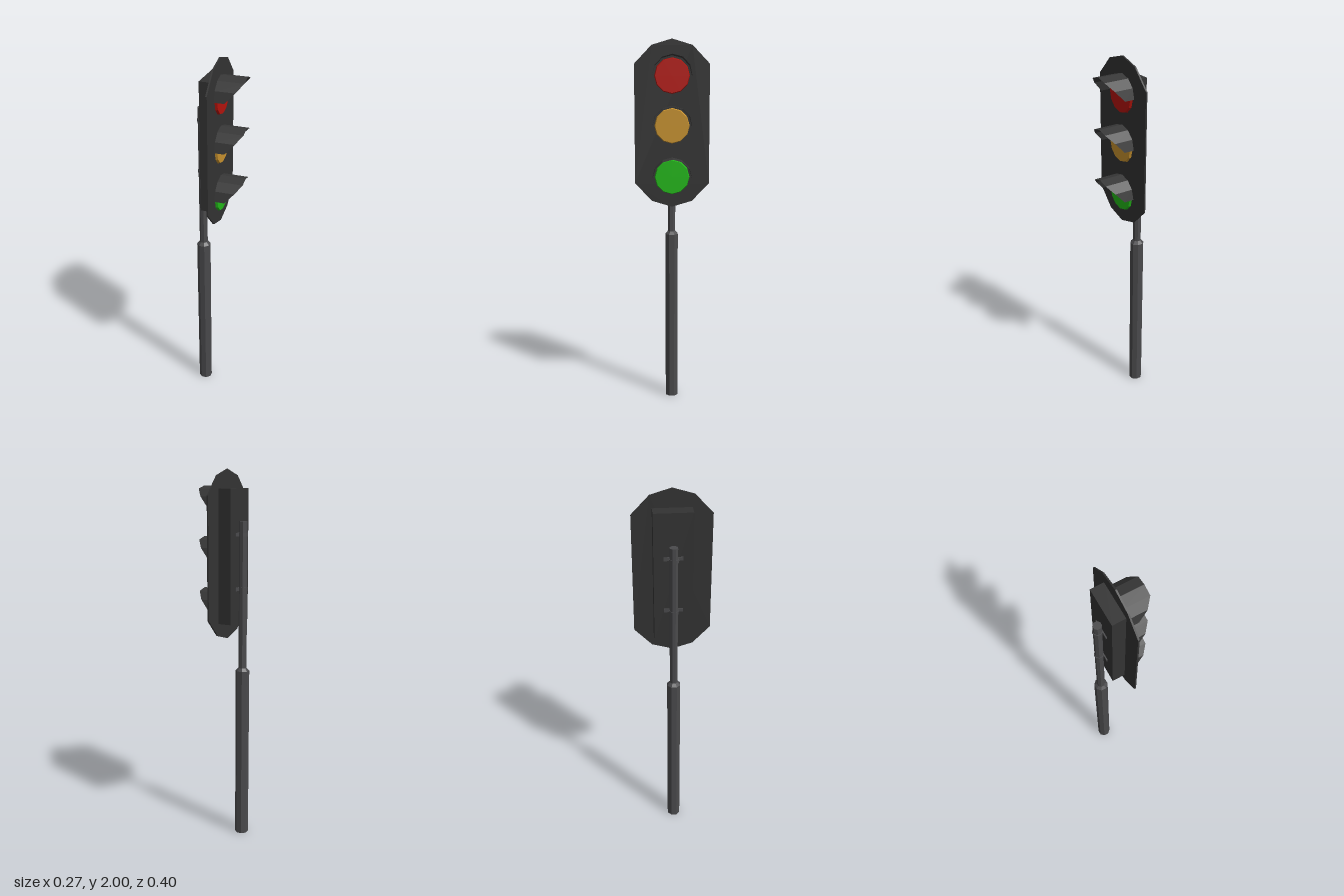
import * as THREE from 'three';

const paint = (color, side = THREE.FrontSide) =>
  new THREE.MeshStandardMaterial({ color, side, flatShading: true });

// Half of a twelve-sided tube whose front edge is cut back towards the sides
function visorGeometry(radius) {
  const lengths = [0.052, 0.1, 0.133, 0.133, 0.133, 0.1, 0.052];
  const positions = [], index = [];
  lengths.forEach((length, i) => {
    const a = (i * Math.PI) / 6;
    const y = Math.sin(a) * radius, z = Math.cos(a) * radius;
    positions.push(-0.002, y, z, length, y, z);
    if (i < lengths.length - 1) {
      const k = i * 2;
      index.push(k, k + 1, k + 3, k, k + 3, k + 2);
    }
  });
  const geometry = new THREE.BufferGeometry();
  geometry.setAttribute('position', new THREE.Float32BufferAttribute(positions, 3));
  geometry.setIndex(index);
  geometry.computeVertexNormals();
  return geometry;
}

export function createModel() {
  const model = new THREE.Group();
  const dark = paint(0x333333);
  const metal = paint(0x4a4a4c);
  const visorPaint = paint(0x383838, THREE.DoubleSide);

  const add = (name, geometry, material, x = 0, y = 0, z = 0) => {
    const mesh = new THREE.Mesh(geometry, material);
    mesh.name = name;
    mesh.position.set(x, y, z);
    model.add(mesh);
    return mesh;
  };

  // Octagonal stepped pole, flat sides facing the axes
  const k = 1 / Math.cos(Math.PI / 8);
  const profile = [[0, 0], [0.034, 0], [0.034, 0.952], [0.02, 0.968], [0.02, 1.742], [0, 1.742]]
    .map(([r, y]) => new THREE.Vector2(r * k, y));
  add('pole', new THREE.LatheGeometry(profile, 8, Math.PI / 8), metal, -0.1);

  // Clamps holding the housing to the pole
  for (const y of [1.675, 1.394]) {
    const ring = new THREE.CylinderGeometry(0.023 * k, 0.023 * k, 0.018, 8).rotateY(Math.PI / 8);
    add('clampRing', ring, metal, -0.1, y);
    add('clampPlate', new THREE.BoxGeometry(0.008, 0.018, 0.096), metal, -0.08, y);
  }

  // Signal housing
  add('housing', new THREE.BoxGeometry(0.072, 0.69, 0.194), dark, -0.042, 1.56);

  // Thin backing board with clipped corners
  const outline = [[0, 2], [0.107, 1.968], [0.198, 1.873], [0.198, 1.247], [0.107, 1.152],
    [0, 1.12], [-0.107, 1.152], [-0.198, 1.247], [-0.198, 1.873], [-0.107, 1.968]];
  const shape = new THREE.Shape(outline.map(([x, y]) => new THREE.Vector2(x, y)));
  const board = new THREE.ExtrudeGeometry(shape, { depth: 0.008, bevelEnabled: false });
  add('backingBoard', board.rotateY(Math.PI / 2), dark, -0.009);

  // Lenses, each under a visor
  const lamps = [['red', 1.812, 0xb5140c], ['amber', 1.553, 0xc8922e], ['green', 1.282, 0x22b818]];
  for (const [name, y, color] of lamps) {
    const lens = new THREE.CylinderGeometry(0.089, 0.094, 0.014, 12).rotateZ(-Math.PI / 2);
    add(name + 'Lens', lens, paint(color), 0.004, y);
    add(name + 'Visor', visorGeometry(0.104), visorPaint, 0, y);
  }
  return model;
}
